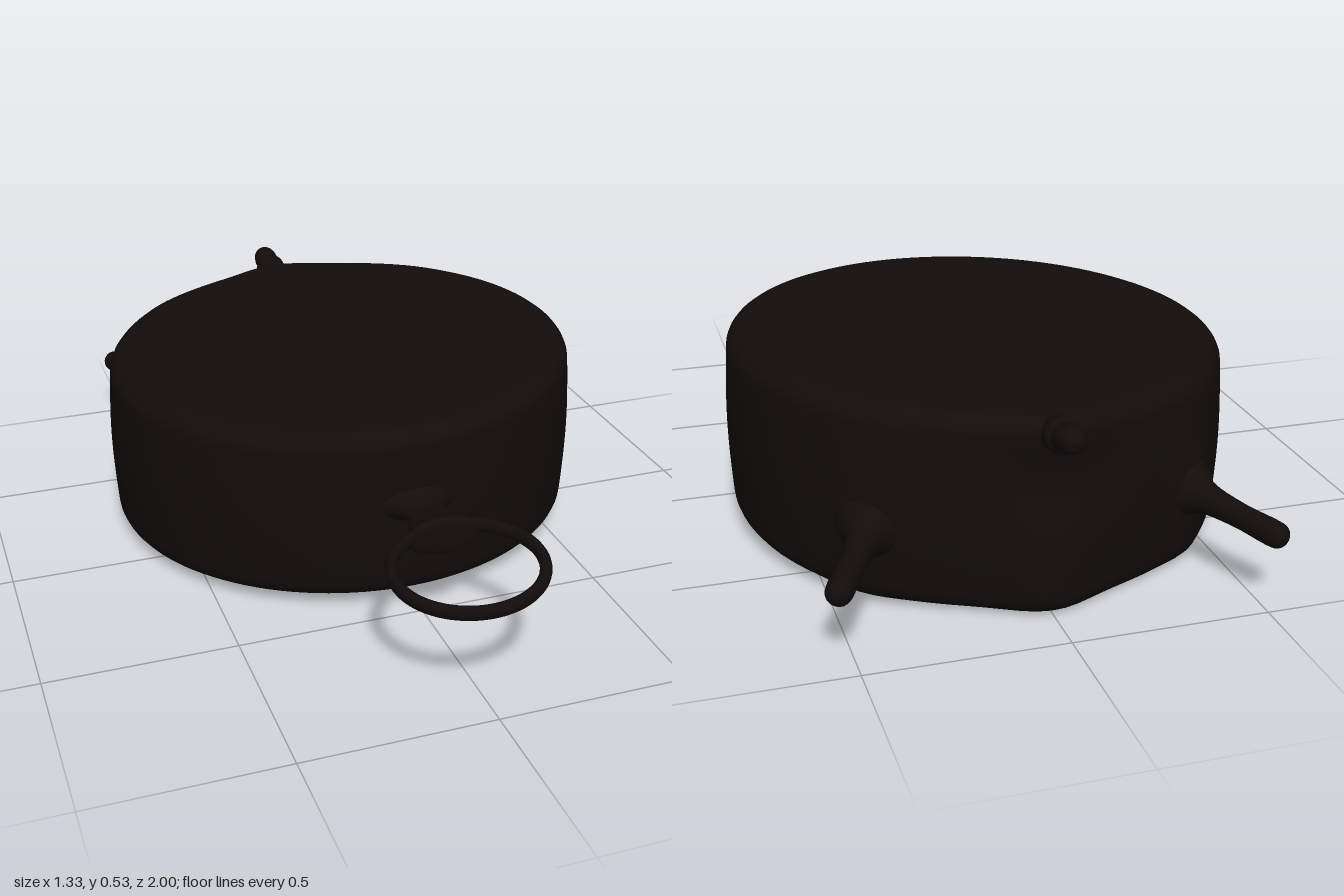
import * as THREE from 'three';
import { mergeVertices } from 'three/addons/utils/BufferGeometryUtils.js';

const CENTRE_Z = -0.19;
const material = new THREE.MeshStandardMaterial({ color: 0x120c0a });
const bell = (d, width) => Math.exp(-(d * d) / (width * width));
const v3 = (x, y, z) => new THREE.Vector3(x, y, z);

function addMesh(group, name, geometry) {
  const mesh = new THREE.Mesh(geometry, material);
  mesh.name = name;
  group.add(mesh);
  return mesh;
}

// Smooth lathe through [radius, height] pairs, turned about y
function smoothLathe(pairs, samples, sides) {
  const curve = new THREE.SplineCurve(pairs.map(([r, y]) => new THREE.Vector2(r, y)));
  const points = curve.getPoints(samples).map((p) => new THREE.Vector2(Math.max(p.x, 0), p.y));
  return new THREE.LatheGeometry(points, sides);
}

// Drum with rounded rims, slightly skewed, swelling out where the lugs grow
function drumGeometry() {
  const profile = [];
  for (const r of [0, 0.15, 0.3, 0.45, 0.55]) profile.push(new THREE.Vector2(r, 0));
  const R = 0.655, c = 0.055, H = 0.5;
  for (let i = 0; i <= 6; i++) {
    const a = (i / 6) * Math.PI / 2;
    profile.push(new THREE.Vector2(R - c + c * Math.sin(a), c - c * Math.cos(a)));
  }
  for (let i = 1; i < 12; i++) {
    const t = i / 12;
    profile.push(new THREE.Vector2(R + 0.008 * Math.sin(Math.PI * t), c + t * (H - 2 * c)));
  }
  for (let i = 0; i <= 6; i++) {
    const a = (i / 6) * Math.PI / 2;
    profile.push(new THREE.Vector2(R - c + c * Math.cos(a), H - c + c * Math.sin(a)));
  }
  for (const r of [0.55, 0.45, 0.3, 0.15, 0]) profile.push(new THREE.Vector2(r, H));

  let geometry = new THREE.LatheGeometry(profile, 120);
  geometry.deleteAttribute('uv');
  geometry.deleteAttribute('normal');
  geometry = mergeVertices(geometry, 1e-4);
  const pos = geometry.attributes.position;
  for (let i = 0; i < pos.count; i++) {
    const x = pos.getX(i), y = pos.getY(i), z = pos.getZ(i);
    const r = Math.hypot(x, z);
    const t = y / H;
    let grow = 0;
    if (z < 0 && r > 0.5) {
      const waist = 1 - 0.85 * bell(t - 0.68, 0.2);
      grow = 0.045 * bell(x, 0.12) * waist;
      grow += 0.025 * bell(Math.abs(x) - 0.41, 0.07) * bell(t - 0.38, 0.4);
      grow *= Math.min(1, (r - 0.5) / 0.12);
    }
    const k = r > 0 ? 1 + grow / r : 1;
    const bottom = 0.03 + 0.012 * x + 0.027 * z;
    const top = 0.522 + 0.03 * x;
    pos.setXYZ(i, x * k, bottom + (top - bottom) * t, z * k + CENTRE_Z);
  }
  geometry.computeVertexNormals();
  return geometry;
}

// Finger-like lug: flared root, slim shaft, rounded tip
function addLug(group, name, from, to, radius, flare) {
  const L = from.distanceTo(to);
  const geometry = smoothLathe([
    [flare, -0.03], [flare * 0.72, 0.02], [radius * 1.25, 0.07],
    [radius * 0.95, L * 0.55], [radius, L - radius * 1.3],
    [radius * 0.75, L - radius * 0.4], [0, L],
  ], 32, 20);
  const lug = addMesh(group, name, geometry);
  lug.position.copy(from);
  lug.quaternion.setFromUnitVectors(v3(0, 1, 0), to.clone().sub(from).normalize());
}

export function createModel() {
  const model = new THREE.Group();
  model.name = 'ringedDrum';
  addMesh(model, 'drum', drumGeometry());

  // Two low lugs splayed outward at the back, one at the top rim
  addLug(model, 'leftLug', v3(0.41, 0.225, -0.71), v3(0.55, 0.2, -0.98), 0.033, 0.1);
  addLug(model, 'rightLug', v3(-0.4, 0.225, -0.71), v3(-0.535, 0.2, -1.0), 0.033, 0.1);
  addLug(model, 'topLug', v3(0, 0.475, -0.83), v3(0, 0.517, -0.99), 0.036, 0.06);

  // Flattened neck at the front, widening to hold the ring
  const neck = smoothLathe([
    [0.15, 0.43], [0.085, 0.475], [0.055, 0.52], [0.06, 0.56],
    [0.08, 0.61], [0.098, 0.638], [0.075, 0.652], [0, 0.656],
  ], 40, 28);
  neck.rotateX(Math.PI / 2);
  neck.scale(1, 0.52, 1);
  addMesh(model, 'neck', neck).position.set(-0.005, 0.318, 0);

  // Pull ring, slightly tilted
  const ring = new THREE.TorusGeometry(0.184, 0.015, 14, 72);
  ring.scale(1, 1, 1.25);
  ring.rotateX(Math.PI / 2);
  const pull = addMesh(model, 'pullRing', ring);
  pull.position.set(-0.006, 0.318, 0.8);
  pull.rotation.set(0.05, 0, 0.06);

  return model;
}
